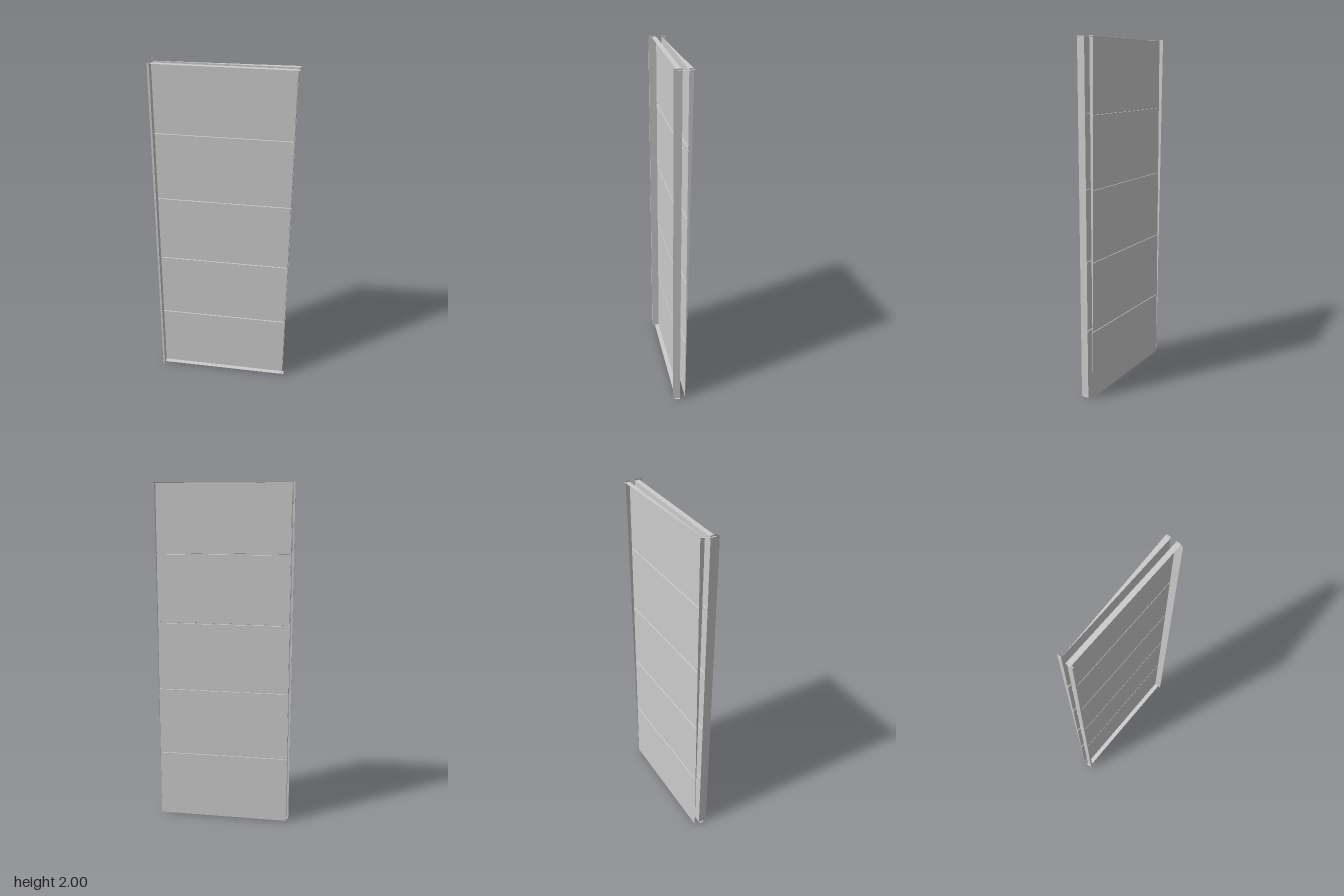
import * as THREE from 'three';

const material = new THREE.MeshStandardMaterial({ color: 0xcccccc, side: THREE.DoubleSide, flatShading: true });

// Sheet metal: sweeps an open line of 3D points along a vector
function sweep(name, points, along) {
  const pos = [];
  for (let i = 0; i + 1 < points.length; i++) {
    const a = new THREE.Vector3(...points[i]);
    const b = new THREE.Vector3(...points[i + 1]);
    const step = new THREE.Vector3(...along);
    const c = b.clone().add(step);
    const d = a.clone().add(step);
    for (const p of [a, b, c, a, c, d]) pos.push(p.x, p.y, p.z);
  }
  return sheet(name, pos);
}

function sheet(name, pos) {
  const geo = new THREE.BufferGeometry();
  geo.setAttribute('position', new THREE.Float32BufferAttribute(pos, 3));
  geo.computeVertexNormals();
  const mesh = new THREE.Mesh(geo, material);
  mesh.name = name;
  return mesh;
}

const W = 0.385; // half width of the skins
const OUT = 0.394; // half width of the flanges
const LOW = 0.005;
const HIGH = 1.992;

// Skin in five sections, divided by shallow grooves pressed inwards
function skin(name, z, inner) {
  const line = [[-W, LOW, z]];
  for (const y of [0.4, 0.8, 1.2, 1.6]) {
    line.push([-W, y - 0.004, z], [-W, y - 0.003, inner], [-W, y + 0.003, inner], [-W, y + 0.004, z]);
  }
  line.push([-W, HIGH, z]);
  return sweep(name, line, [2 * W, 0, 0]);
}

export function createModel() {
  const model = new THREE.Group();
  model.name = 'sectionalPanel';

  // Front tray: skin, top and bottom flanges, side flanges
  const front = new THREE.Group();
  front.name = 'frontTray';
  const zf = 0.0095;
  front.add(skin('frontSkin', zf, 0.004));
  for (const [name, y] of [['topFlange', HIGH], ['bottomFlange', LOW]]) {
    front.add(sweep(name, [[-OUT, y, zf], [-OUT, y, 0.037]], [2 * OUT, 0, 0]));
  }
  front.add(sweep('rightSideFlange',
    [[-W, 0, zf], [-W, 0, 0.053], [-0.396, 0, 0.053], [-0.396, 0, 0.045]], [0, 2, 0]));
  front.add(sweep('leftSideFlange', [[W, 0, zf], [W, 0, 0.053]], [0, 2, 0]));

  // Back tray: skin with tapered flanges
  const back = new THREE.Group();
  back.name = 'backTray';
  const zb = -0.022;
  back.add(skin('backSkin', zb, -0.018));
  back.add(sheet('taperedTopFlange', [-W, HIGH, zb, OUT, HIGH, zb, OUT, HIGH, -0.051]));
  back.add(sheet('cornerLip', [-OUT, 2, zb, -W, 2, zb, -W, 2, -0.045]));
  for (const side of [-1, 1]) {
    const x = side * W;
    back.add(sheet('taperedSideFlange', [x, 0, zb, x, 2, zb, x, 2, -0.046]));
  }

  model.add(front, back);
  return model;
}
